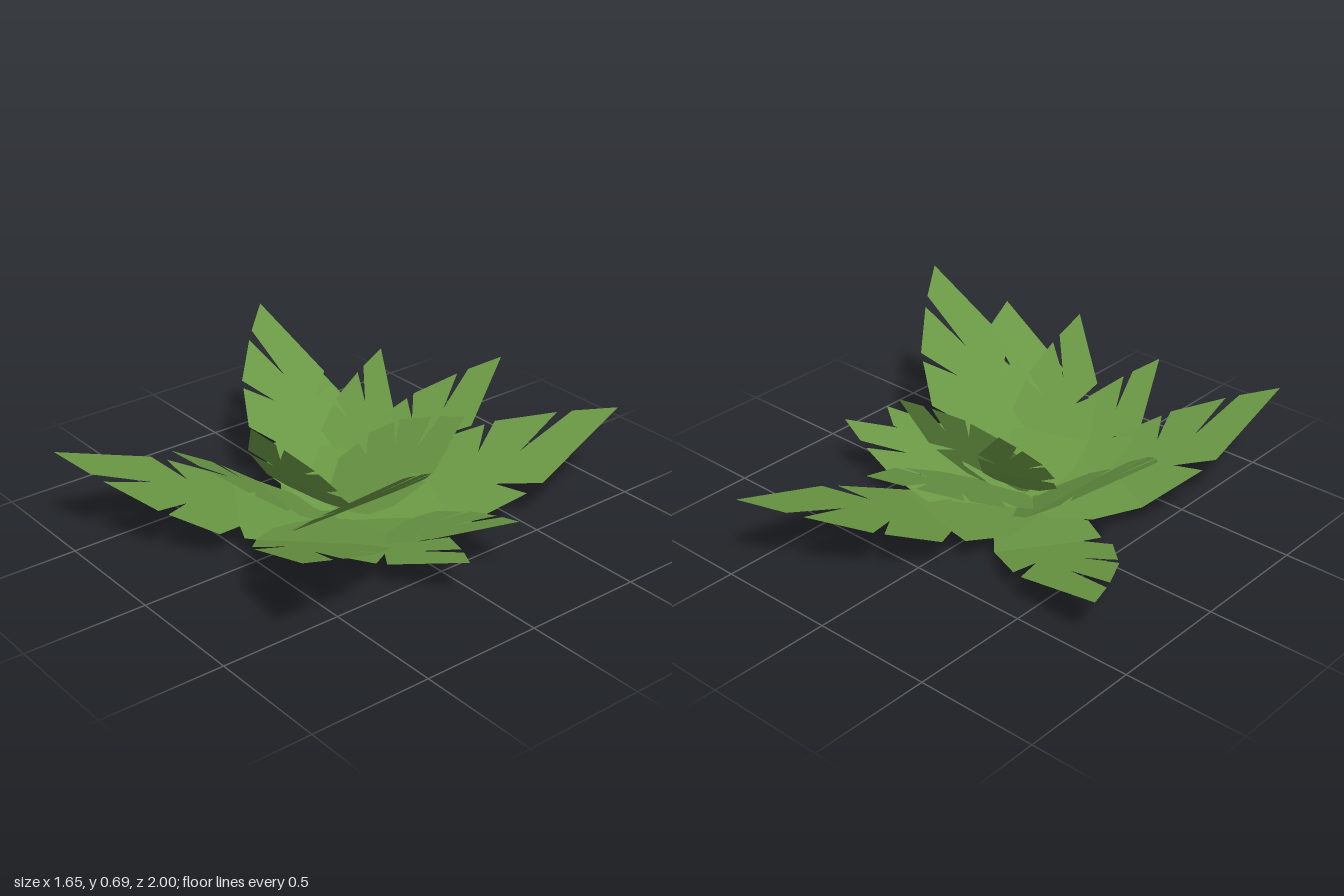
import * as THREE from 'three';

// Unit leaf outline: x runs along the rib, y is the half-width (left side positive).
// Two flat panels meet on a fold at x = FOLD.
const FOLD = 0.34;
const BLADE = [
  [FOLD, -0.225], [0.59, -0.205], [0.52, -0.1], [0.65, -0.19], [1, 0], [0.87, 0.08],
  [0.65, 0], [0.825, 0.105], [0.635, 0.195], [0.53, 0.08], [0.6, 0.2], [0.42, 0.23], [FOLD, 0.13],
];
const FOOT = [[0, -0.06], [0.17, -0.19], [FOLD, -0.225], [FOLD, 0.13], [0.33, 0.21], [0.17, 0.2], [0, 0.06]];

// Each leaf: name, tip position, height of its foot, sag at the fold, facing of the upper side
const LEAVES = [
  ['outerLeafBack', [0.43, 0.36, -1], 0.01, 0.04, [0, 0.95, 0.3]],
  ['outerLeafFront', [-0.6, 0.39, 1], 0.01, 0.045, [0, 1, 0]],
  ['outerLeafRight', [-0.83, 0.21, -0.47], 0.01, 0.03, [0, 1, 0]],
  ['outerLeafLeft', [0.72, 0.25, -0.18], 0.01, 0.03, [-0.3, 0.95, 0]],
  ['lowLeafLeft', [0.75, 0.19, 0.09], 0.01, 0.03, [-0.25, 0.97, 0]],
  ['middleLeafFrontLeft', [0.71, 0.44, 0.81], 0.02, 0.04, [0, 1, 0]],
  ['middleLeafBack', [0.01, 0.51, -0.74], 0.07, 0, [0, 0.87, 0.5]],
  ['middleLeafFront', [-0.18, 0.48, 0.74], 0.04, 0.02, [0.05, 0.85, -0.52]],
  ['middleLeafRight', [-0.83, 0.63, -0.14], 0.06, 0.02, [0.6, 0.8, 0]],
  ['middleLeafLeft', [0.82, 0.69, 0.47], 0.05, 0.02, [-0.57, 0.82, 0]],
  ['innerLeafFront', [0.12, 0.64, 0.59], 0.08, 0.02, [0, 1, 0]],
  ['innerLeafRight', [-0.24, 0.58, -0.31], 0.1, 0.02, [0, 1, 0]],
  ['innerLeafLeft', [0.33, 0.51, -0.25], 0.1, 0, [0.35, 0.35, 0.87]],
];

// Lays a flat outline into space with the leaf's own axes
function panel(outline, foot, along, side, up, length, sag) {
  const shape = new THREE.Shape(outline.map(([x, y]) => new THREE.Vector2(x, y)));
  const geometry = new THREE.ShapeGeometry(shape);
  const pos = geometry.attributes.position;
  const p = new THREE.Vector3();
  for (let i = 0; i < pos.count; i++) {
    const t = pos.getX(i), s = pos.getY(i);
    const drop = sag * Math.min(t / FOLD, (1 - t) / (1 - FOLD));
    p.copy(foot)
      .addScaledVector(along, t * length)
      .addScaledVector(side, s * length)
      .addScaledVector(up, -drop);
    pos.setXYZ(i, p.x, p.y, p.z);
  }
  geometry.computeVertexNormals();
  return geometry;
}

function makeLeaf([name, tip, footHeight, sag, facing], material) {
  const foot = new THREE.Vector3(-0.05, footHeight, 0.09);
  const along = new THREE.Vector3(...tip).sub(foot);
  const length = along.length();
  along.normalize();
  const side = new THREE.Vector3(...facing).cross(along).normalize();
  const up = along.clone().cross(side);

  const leaf = new THREE.Group();
  leaf.name = name;
  for (const [part, outline] of [['blade', BLADE], ['foot', FOOT]]) {
    const mesh = new THREE.Mesh(panel(outline, foot, along, side, up, length, sag), material);
    mesh.name = part;
    leaf.add(mesh);
  }
  return leaf;
}

export function createModel() {
  const leafGreen = new THREE.MeshStandardMaterial({ color: 0x6a9844, side: THREE.DoubleSide, flatShading: true });
  leafGreen.name = 'leaf green';

  const plant = new THREE.Group();
  plant.name = 'leafyPlant';
  for (const spec of LEAVES) plant.add(makeLeaf(spec, leafGreen));

  // Stand the rosette on the ground
  const box = new THREE.Box3().setFromObject(plant, true);
  plant.children.forEach((leaf) => { leaf.position.y -= box.min.y; });
  return plant;
}
